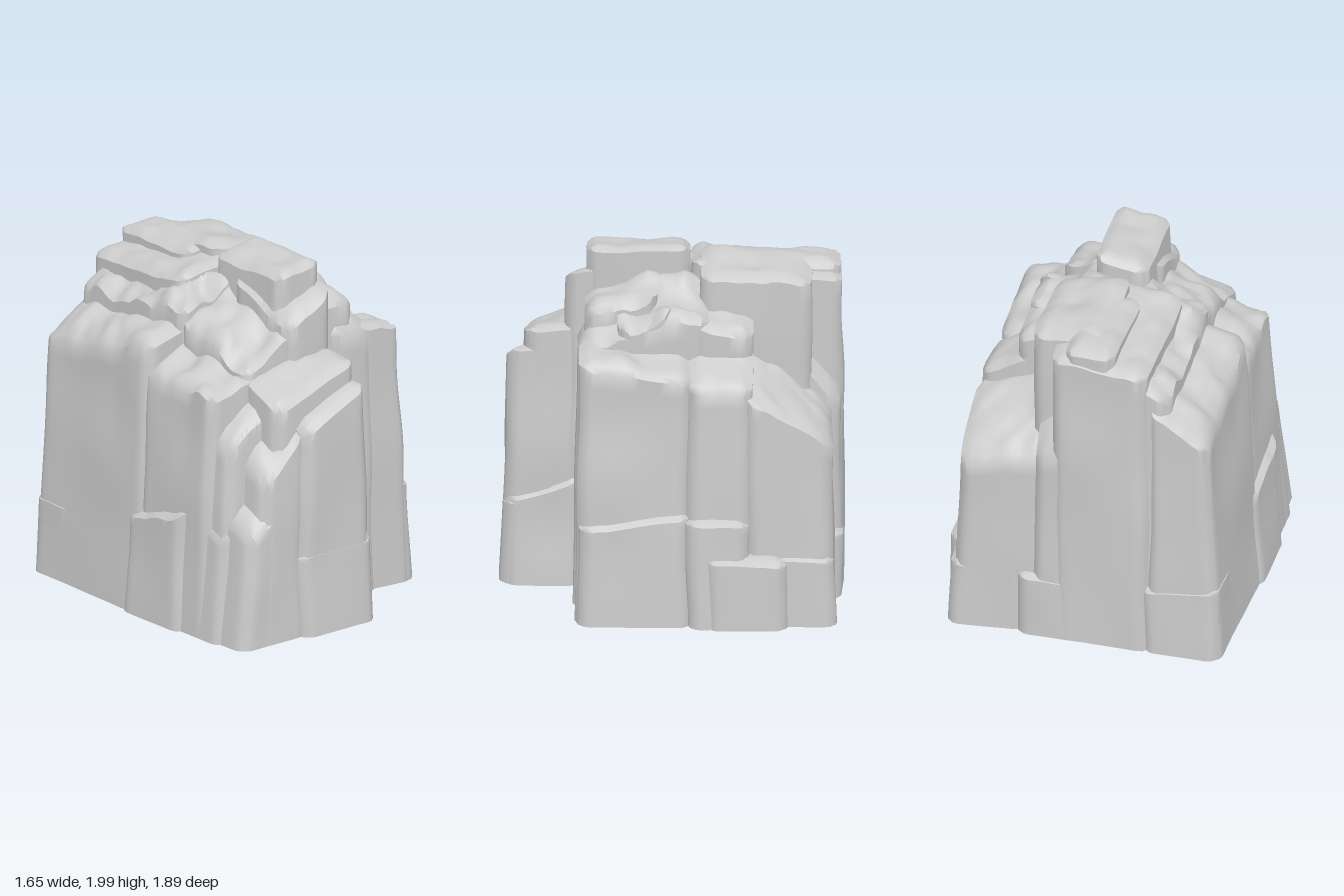
import * as THREE from 'three';
import { toCreasedNormals } from 'three/addons/utils/BufferGeometryUtils.js';

const material = new THREE.MeshStandardMaterial({ color: 0xcccccc });
const { lerp, clamp } = THREE.MathUtils;

// Seedless value noise, 0..1
function hash(i, j, k) {
  const s = Math.sin(i * 127.1 + j * 311.7 + k * 74.7) * 43758.5453;
  return s - Math.floor(s);
}
function noise(x, y, z) {
  const i = Math.floor(x), j = Math.floor(y), k = Math.floor(z);
  const f = (t) => t * t * (3 - 2 * t);
  const u = f(x - i), v = f(y - j), w = f(z - k);
  const row = (b, c) => lerp(hash(i, b, c), hash(i + 1, b, c), u);
  return lerp(lerp(row(j, k), row(j + 1, k), v), lerp(row(j, k + 1), row(j + 1, k + 1), v), w);
}

// A rough stone column.
// x, z: footprint ranges; tops: heights at back -x, back +x, front -x, front +x;
// taper: how far the -x, +x, back and front walls lean in at the top; bump: roughness of the top
function rock(name, x, z, tops, taper = [0, 0, 0, 0], bump = 0.04) {
  const steps = (r) => Math.max(4, Math.round((r[1] - r[0]) / 0.035));
  const width = x[1] - x[0], depth = z[1] - z[0];
  const geo = new THREE.BoxGeometry(1, 1, 1, steps(x), 16, steps(z));
  const p = geo.attributes.position;
  for (let i = 0; i < p.count; i++) {
    const u = p.getX(i) + 0.5, v = p.getY(i) + 0.5, w = p.getZ(i) + 0.5;
    let px = lerp(x[0] + taper[0] * v, x[1] - taper[1] * v, u);
    let pz = lerp(z[0] + taper[2] * v, z[1] - taper[3] * v, w);
    let top = lerp(lerp(tops[0], tops[1], u), lerp(tops[2], tops[3], u), w);
    top += bump * (2 * noise(px * 7 + 3, 0.5, pz * 7) - 1);
    top += 0.5 * bump * (2 * noise(px * 14, 3.5, pz * 14 + 5) - 1);
    const edgeX = Math.min(u, 1 - u) * width, edgeZ = Math.min(w, 1 - w) * depth;
    // worn rim
    top -= 0.035 * (1 - clamp(Math.min(edgeX, edgeZ) / 0.06, 0, 1));
    const py = lerp(0.025 * (1 - Math.abs(px)), top, v);
    // chamfered upright corners
    const cut = Math.max(0, 0.05 - edgeX - edgeZ) / 2;
    px += u < 0.5 ? cut : -cut;
    pz += w < 0.5 ? cut : -cut;
    // gentle chiselling of the walls
    px += 0.03 * (noise(px * 3, py * 2.5, pz * 3 + 9) - 0.5);
    pz += 0.03 * (noise(px * 3 + 5, py * 2.5, pz * 3) - 0.5);
    p.setXYZ(i, px, py, pz);
  }
  const mesh = new THREE.Mesh(toCreasedNormals(geo, 0.75), material);
  mesh.name = name;
  return mesh;
}

export function createModel() {
  const group = new THREE.Group();
  group.name = 'rockFormation';
  group.add(
    // summit and the high shelf behind it
    rock('summit', [-0.22, 0.125], [-0.14, 0.56], [1.94, 1.99, 1.95, 2.0], [0.05, 0, 0.05, 0.09], 0.015),
    rock('summitFront', [-0.2, 0.12], [0.1, 0.61], [1.88, 1.94, 1.68, 1.86], [0, 0, 0, 0.02], 0.02),
    rock('backShelf', [-0.4, 0.16], [-0.93, -0.1], [1.76, 1.84, 1.83, 1.93], [0.02, 0, 0, 0], 0.02),
    rock('backShelfMiddle', [-0.22, 0.12], [-0.92, -0.3], [1.88, 1.88, 1.9, 1.93], [0.03, 0.03, 0, 0], 0.02),
    rock('backShelfSide', [-0.1, 0.33], [-0.76, -0.15], [1.91, 1.87, 1.95, 1.9], [0, 0.03, 0, 0], 0.02),
    rock('backShelfStep', [0.05, 0.28], [-0.92, -0.6], [1.25, 1.15, 1.6, 1.5], [0, 0.02, 0, 0], 0.02),

    // rough left slopes
    rock('leftUpperSlope', [-0.53, -0.12], [-0.88, 0.05], [1.58, 1.78, 1.72, 1.84], [0.03, 0, 0, 0], 0.08),
    rock('leftMiddleSlope', [-0.5, -0.1], [-0.02, 0.6], [1.68, 1.82, 1.47, 1.66], [0.02, 0, 0, 0.04], 0.06),
    rock('leftBackColumn', [-0.8, -0.38], [-0.92, 0.02], [1.36, 1.56, 1.55, 1.64], [0.08, 0, 0.02, 0], 0.04),
    rock('leftMiddleColumn', [-0.79, -0.4], [-0.05, 0.6], [1.4, 1.56, 1.36, 1.46], [0.08, 0, 0, 0.04], 0.05),
    rock('leftFrontColumn', [-0.77, -0.3], [0.4, 0.74], [1.25, 1.46, 1.08, 1.4], [0.1, 0, 0, 0.06], 0.04),
    rock('leftFoot', [-0.82, -0.5], [-0.12, 0.4], [0.55, 0.65, 0.7, 0.7], [0.03, 0, 0, 0], 0.03),
    rock('leftFrontFoot', [-0.79, -0.5], [0.3, 0.72], [0.7, 0.9, 0.6, 0.8], [0.06, 0, 0, 0.02], 0.03),

    // stepped front buttress
    rock('frontUpperStep', [-0.5, 0.13], [0.5, 0.83], [1.46, 1.54, 1.34, 1.52], [0.04, 0.02, 0, 0.02], 0.02),
    rock('frontButtress', [-0.36, 0.14], [0.6, 0.93], [1.32, 1.42, 1.2, 1.4], [0.02, 0.03, 0, 0.03], 0.01),
    rock('frontLeftButtress', [-0.66, -0.3], [0.55, 0.89], [1.1, 1.32, 0.92, 1.25], [0.09, 0, 0, 0.04], 0.03),
    rock('frontLeftFoot', [-0.76, -0.34], [0.55, 0.89], [0.78, 0.95, 0.62, 0.9], [0.08, 0, 0, 0.03], 0.03),
    rock('frontFoot', [-0.36, 0.15], [0.65, 0.94], [0.52, 0.52, 0.5, 0.52], [0, 0, 0, 0.02], 0.01),
    rock('frontFootSide', [0, 0.165], [0.5, 0.92], [0.68, 0.66, 0.56, 0.52], [0, 0.015, 0, 0.01], 0.02),

    // right front columns beside the recess
    rock('recessColumn', [0.05, 0.36], [0.08, 0.54], [1.86, 1.82, 1.76, 1.66], [0, 0, 0, 0.06], 0.05),
    rock('recessSideColumn', [0.24, 0.47], [0, 0.55], [1.78, 1.74, 1.56, 1.5], [-0.07, 0, 0, 0.03], 0.07),
    rock('rightInnerColumn', [0.1, 0.48], [-0.2, 0.3], [1.84, 1.7, 1.82, 1.66], [0, 0.01, 0, 0], 0.07),
    rock('rightFrontColumn', [0.36, 0.73], [-0.1, 0.53], [1.52, 1.4, 1.56, 1.51], [0, 0.07, 0, 0.02], 0.03),
    rock('rightFrontFoot', [0.4, 0.765], [-0.1, 0.52], [0.68, 0.65, 0.66, 0.58], [0, 0.03, 0, 0.01], 0.015),

    // right back columns, falling away below the high shelf
    rock('rightBackUpper', [0.2, 0.49], [-0.44, -0.1], [1.7, 1.62, 1.75, 1.68], [0, 0.02, 0, 0], 0.04),
    rock('rightMiddleColumn', [0.35, 0.75], [-0.44, -0.08], [1.55, 1.37, 1.55, 1.37], [0, 0.07, 0, 0], 0.02),
    rock('rightBackColumn', [0.2, 0.74], [-0.88, -0.4], [1.16, 1.03, 1.5, 1.33], [0, 0.05, 0, 0], 0.04),
    rock('rightMiddleFoot', [0.4, 0.8], [-0.42, -0.08], [0.62, 0.62, 0.65, 0.63], [0, 0.03, 0, 0], 0.015),
    rock('rightBackFoot', [0.4, 0.82], [-0.62, -0.18], [0.42, 0.4, 0.44, 0.42], [0, 0.01, 0, 0], 0.01),
    rock('rightCornerFoot', [0.3, 0.755], [-0.89, -0.55], [0.44, 0.4, 0.44, 0.42], [0, 0.01, 0.01, 0], 0.01),

    // ledge along the foot of the back wall
    rock('backLedgeLeft', [-0.79, -0.35], [-0.93, -0.6], [0.46, 0.42, 0.46, 0.42], [0.01, 0, 0.01, 0], 0.01),
    rock('backLedgeMiddle', [-0.4, 0.36], [-0.93, -0.6], [0.38, 0.42, 0.38, 0.42], [0, 0, 0.005, 0], 0.01),

    // solid core closing the gaps between the columns
    rock('core', [-0.6, 0.6], [-0.85, 0.45], [1.2, 0.9, 1.2, 1.2])
  );
  return group;
}
